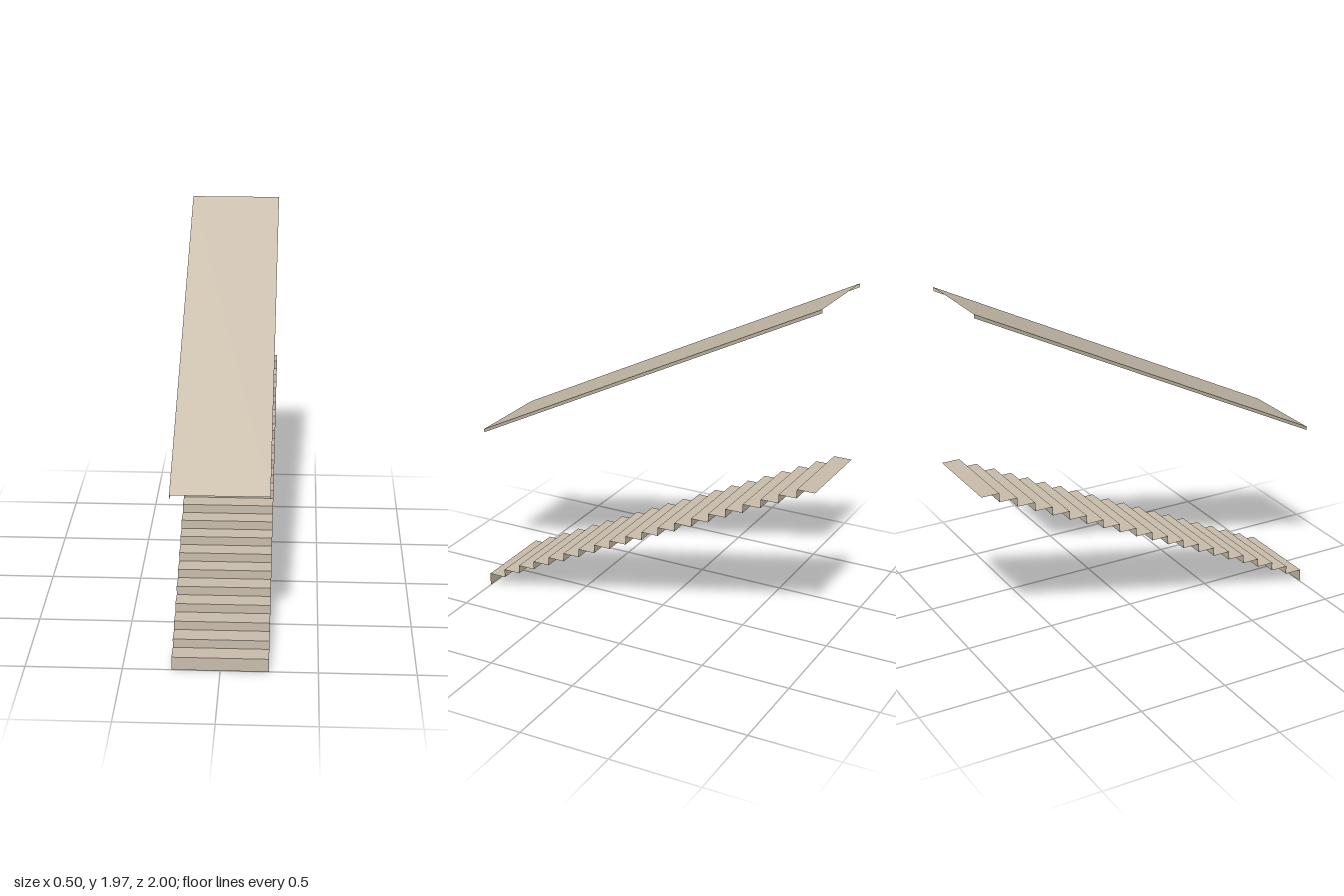
import * as THREE from 'three';

const HALF_WIDTH = 0.248;
const STEPS = 20;
const FIRST_RISE = 0.073;
const RISE = 0.0488;
const DEPTH = 2 / STEPS;

// Sharp-edged open sheet stretched between two matching polylines
function sheet(name, a, b, material) {
  const pos = [];
  for (let i = 0; i < a.length - 1; i++) {
    pos.push(...a[i], ...b[i], ...b[i + 1], ...a[i], ...b[i + 1], ...a[i + 1]);
  }
  const geometry = new THREE.BufferGeometry();
  geometry.setAttribute('position', new THREE.Float32BufferAttribute(pos, 3));
  geometry.computeVertexNormals();
  const mesh = new THREE.Mesh(geometry, material);
  mesh.name = name;
  return mesh;
}

export function createModel() {
  const stone = new THREE.MeshStandardMaterial({ color: 0xcabfad, side: THREE.DoubleSide });
  stone.name = 'warm beige';
  const group = new THREE.Group();
  group.name = 'coveredStairs';

  // Staircase: zigzag of risers and treads climbing towards the back
  const zigzag = [[0, 1]];
  for (let i = 0; i < STEPS; i++) {
    const y = FIRST_RISE + i * RISE;
    zigzag.push([y, 1 - i * DEPTH], [y, 1 - (i + 1) * DEPTH]);
  }
  const side = (x) => zigzag.map(([y, z]) => [x, y, z]);
  group.add(sheet('stairs', side(-HALF_WIDTH), side(HALF_WIDTH), stone));

  // Sloping canopy: flat panel with a shallow lip down each long side
  const section = [
    [-HALF_WIDTH + 0.004, -0.02],
    [-HALF_WIDTH, 0],
    [HALF_WIDTH, 0],
    [HALF_WIDTH - 0.004, -0.02],
  ];
  const end = (y0, z) => section.map(([x, y]) => [x, y0 + y, z]);
  group.add(sheet('canopy', end(1.97, -1), end(0.975, 1), stone));

  return group;
}
